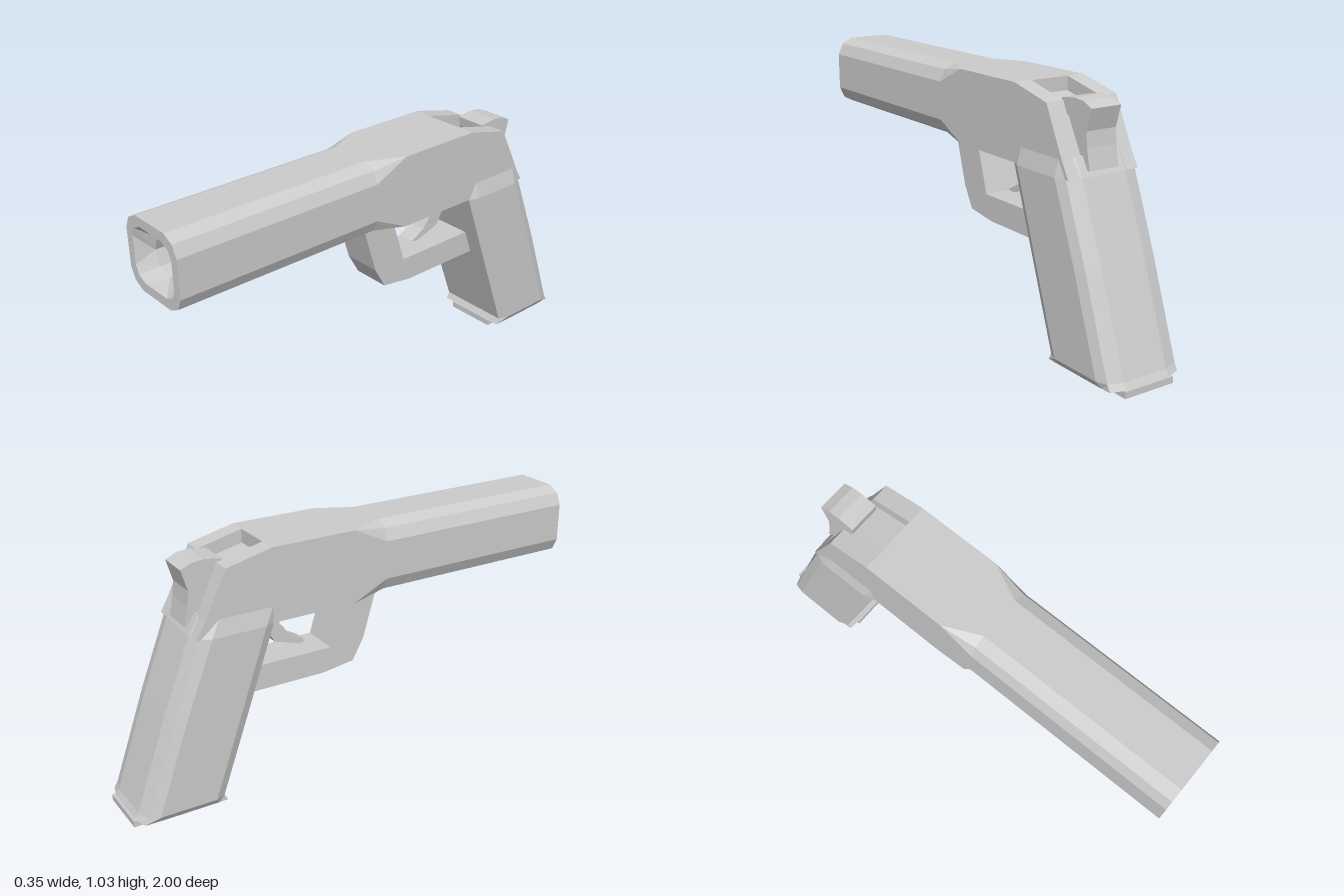
import * as THREE from 'three';

const material = new THREE.MeshStandardMaterial({ color: 0xcccccc, flatShading: true });

// Skin between rings of equal point count, closed at both ends
function loft(rings) {
  const pos = [];
  const tri = (a, b, c) => pos.push(...a, ...b, ...c);
  const n = rings[0].length;
  for (let i = 0; i < rings.length - 1; i++) {
    for (let j = 0; j < n; j++) {
      const k = (j + 1) % n;
      const a = rings[i][j], b = rings[i][k], c = rings[i + 1][k], d = rings[i + 1][j];
      tri(a, d, b);
      tri(b, d, c);
    }
  }
  const first = rings[0], last = rings[rings.length - 1];
  for (let j = 1; j < n - 1; j++) {
    tri(first[0], first[j], first[j + 1]);
    tri(last[0], last[j + 1], last[j]);
  }
  const geo = new THREE.BufferGeometry();
  geo.setAttribute('position', new THREE.Float32BufferAttribute(pos, 3));
  geo.computeVertexNormals();
  return geo;
}

// Side profile of [z, y] points, extruded across x
function sideExtrude(points, width, x = 0) {
  const shape = new THREE.Shape(points.map(([z, y]) => new THREE.Vector2(z, y)));
  const geo = new THREE.ExtrudeGeometry(shape, { depth: width, bevelEnabled: false });
  geo.translate(0, 0, -width / 2);
  geo.rotateY(-Math.PI / 2);
  geo.translate(x, 0, 0);
  return geo;
}

// Twelve-point section: three points per corner (side, diagonal, top),
// each given as a fraction of the half sizes
function barrelRing(z, hx, hy, cy, side, diag, top) {
  const corner = [[1, side], diag, [top, 1]];
  const ring = [];
  for (const [sx, sy] of [[1, 1], [-1, 1], [-1, -1], [1, -1]]) {
    const pts = sx * sy > 0 ? corner : [...corner].reverse();
    for (const [u, v] of pts) ring.push([sx * u * hx, cy + sy * v * hy, z]);
  }
  return ring;
}

// Horizontal grip section, wider at mid sides with clipped rear corners
function gripRing(y, front, back, side) {
  const half = [[0.16, front], [side, front - 0.04], [side, back + 0.06],
    [0.16, back + 0.018], [0.1, back]];
  const right = half.map(([x, z]) => [x, y, z]);
  const left = half.map(([x, z]) => [-x, y, z]).reverse();
  return [...right, ...left];
}

export function createModel() {
  const model = new THREE.Group();
  const add = (name, geo) => {
    const mesh = new THREE.Mesh(geo, material);
    mesh.name = name;
    model.add(mesh);
    return mesh;
  };

  // Barrel and frame: bore, funnel, rim, bevelled barrel, square frame
  const bore = (z) => barrelRing(z, 0.083, 0.079, 0.877, 0, [0.73, 0.73], 0);
  const bevel = (z, hx, hy) => barrelRing(z, hx, hy, 0.88, 0.52, [0.86, 0.84], 0.56);
  const square = (z) => barrelRing(z, 0.161, 0.15, 0.88, 1, [1, 1], 1);
  add('barrelAndFrame', loft([
    bore(0.82), bore(0.94),
    bevel(1, 0.125, 0.112), bevel(1, 0.161, 0.15), bevel(0.11, 0.161, 0.15),
    square(-0.04), square(-0.4),
  ]));

  // Rear of the frame: two cheeks with a lower floor between them
  const cheek = [[-0.4, 0.73], [-0.72, 0.73], [-0.685, 0.79], [-0.59, 0.985], [-0.4, 1.03]];
  for (const s of [1, -1]) {
    add(s > 0 ? 'leftCheek' : 'rightCheek', sideExtrude(cheek, 0.076, s * 0.123));
  }
  add('hammerSlotFloor', sideExtrude(
    [[-0.4, 0.73], [-0.7, 0.73], [-0.685, 0.77], [-0.6, 0.93], [-0.4, 0.975]], 0.17));

  // Grip with flared lip at the bottom
  add('grip', loft([
    gripRing(0.8, -0.4, -0.682, 0.16),
    gripRing(0.73, -0.4, -0.723, 0.177),
    gripRing(0.43, -0.505, -0.84, 0.177),
    gripRing(0.05, -0.64, -0.975, 0.177),
    gripRing(0.025, -0.625, -0.99, 0.162),
  ]));
  const plate = add('gripBasePlate', new THREE.BoxGeometry(0.225, 0.026, 0.38));
  plate.position.set(0, 0.013, -0.81);

  // Trigger guard
  add('triggerGuard', sideExtrude([
    [0.11, 0.735], [0.05, 0.53], [0, 0.44], [-0.14, 0.42], [-0.53, 0.42],
    [-0.53, 0.525], [-0.105, 0.525], [-0.04, 0.735],
  ], 0.166));

  // Curved trigger
  add('trigger', sideExtrude([
    [-0.34, 0.74], [-0.31, 0.66], [-0.26, 0.595], [-0.195, 0.56], [-0.225, 0.553],
    [-0.335, 0.588], [-0.375, 0.655], [-0.4, 0.74],
  ], 0.075));

  // Hammer with a hooked spur
  add('hammer', sideExtrude([
    [-0.56, 0.99], [-0.63, 1.0], [-0.68, 0.995], [-0.725, 0.975], [-0.7, 0.89],
    [-0.706, 0.83], [-0.722, 0.75], [-0.62, 0.75], [-0.6, 0.9], [-0.565, 0.95],
  ], 0.135));

  return model;
}
